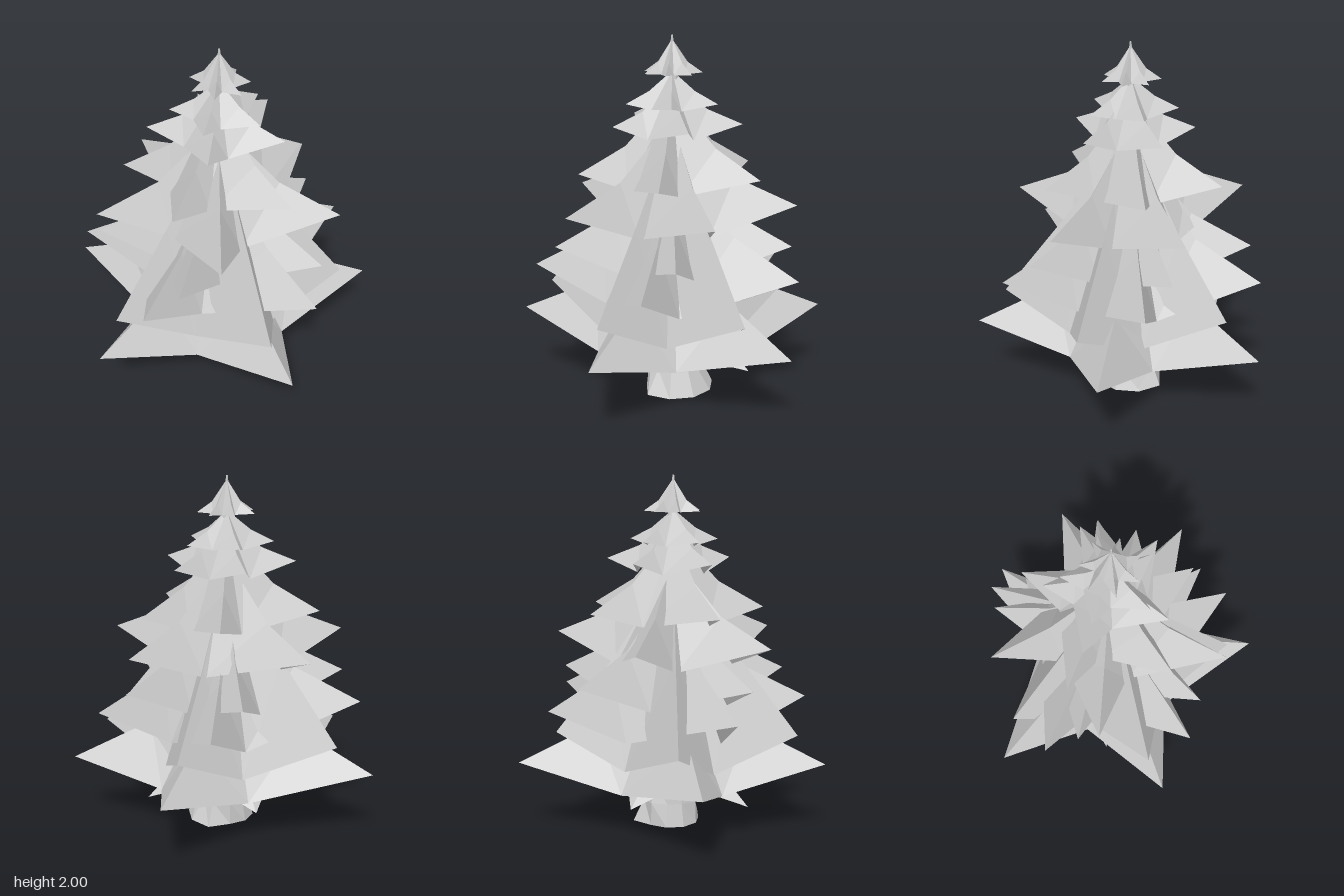
import * as THREE from 'three';

const CX = 0.07, CZ = 0.035; // trunk axis

// Each tier: tip height, apex height, valley drop, valley radius ratio,
// valley position between two tips, ridge slope near the tip, and tips [x, z] in order of angle.
const TIERS = [
  { y: 0.18, apex: 0.85, drop: -0.12, r: 0.6, t: 0.5, slope: 0.9,
    tips: [[0.40, -0.33], [-0.07, 0.30], [-0.30, 0.40], [-0.25, -0.25]] },
  { y: 0.40, apex: 1.0, drop: 0.145, r: 0.5, t: 0.57, slope: 0.45,
    tips: [[0.815, -0.445], [0.755, 0.595], [-0.28, 0.845], [-0.82, 0.05], [0.01, -0.855]] },
  { y: 0.565, apex: 1.5, drop: 0.19, r: 0.57, t: 0.56, slope: 1.25,
    tips: [[0.735, -0.215], [0.6, 0.53], [-0.25, 0.69], [-0.64, -0.045], [0.03, -0.64]] },
  { y: 0.74, apex: 1.3, drop: 0.2, r: 0.52, t: 0.76, slope: 0.5,
    tips: [[0.57, -0.55], [0.775, 0.33], [-0.025, 0.79], [-0.66, 0.26], [-0.195, -0.69]] },
  { y: 0.88, apex: 1.42, drop: 0.16, r: 0.5, t: 0.7, slope: 0.5,
    tips: [[0.38, -0.565], [0.73, 0.145], [0.14, 0.695], [-0.505, 0.37], [-0.30, -0.53]] },
  { y: 1.095, apex: 1.55, drop: 0.15, r: 0.48, t: 0.7, slope: 0.42,
    tips: [[0.33, -0.605], [0.75, -0.05], [0.36, 0.655], [-0.45, 0.48], [-0.555, -0.255]] },
  { y: 1.255, apex: 1.68, drop: 0.08, r: 0.52, t: 0.76, slope: 0.58,
    tips: [[0.39, -0.38], [0.56, 0.20], [0.04, 0.55], [-0.42, 0.21], [-0.13, -0.45]] },
  { y: 1.53, apex: 1.76, drop: 0.07, r: 0.55, t: 0.7, slope: 0.4,
    tips: [[0.205, -0.325], [0.44, 0.02], [0.16, 0.375], [-0.28, 0.19], [-0.17, -0.22]] },
  { y: 1.64, apex: 1.81, drop: 0.03, r: 0.55, t: 0.7, slope: 0.5, tips: ring(5, 0.26, -60) },
  { y: 1.80, apex: 1.98, drop: 0.005, r: 0.5, t: 0.65, slope: 0.7, tips: ring(7, 0.165, -80) },
];

// evenly spaced tips around the axis
function ring(n, radius, startDeg) {
  return Array.from({ length: n }, (_, i) => {
    const a = THREE.MathUtils.degToRad(startDeg + i * 360 / n);
    return [CX + Math.cos(a) * radius, CZ + Math.sin(a) * radius];
  });
}

// folded star skirt: every branch has a ridge, and unequal sides meet in valleys
function starGeometry({ y, apex, drop, r, t, slope, tips }) {
  const top = new THREE.Vector3(CX, apex, CZ);
  const polar = tips.map(([x, z]) => ({ a: Math.atan2(z - CZ, x - CX), r: Math.hypot(x - CX, z - CZ) }));
  const at = (a, rad, h) => new THREE.Vector3(CX + Math.cos(a) * rad, h, CZ + Math.sin(a) * rad);
  const n = tips.length;
  const valleys = polar.map((p, i) => {
    const q = polar[(i + 1) % n];
    let gap = q.a - p.a;
    while (gap < 0) gap += Math.PI * 2;
    return at(p.a + gap * t, r * (p.r + q.r) / 2, y - drop);
  });
  const points = [];
  polar.forEach((p, i) => {
    const tip = at(p.a, p.r, y);
    const mid = at(p.a, p.r * 0.5, y + slope * p.r * 0.5);
    const after = valleys[i], before = valleys[(i + n - 1) % n];
    points.push(top, after, mid, mid, after, tip, top, mid, before, mid, tip, before);
  });
  const geometry = new THREE.BufferGeometry().setFromPoints(points);
  geometry.computeVertexNormals();
  return geometry;
}

// tapering trunk whose lowest ring spreads into uneven roots
function trunkGeometry() {
  const sides = 10;
  const profile = [[0, 0.185], [0.13, 0.145], [0.25, 0.12], [0.6, 0.1], [1.2, 0.06], [1.85, 0.015]];
  const geometry = new THREE.LatheGeometry(profile.map(([y, r]) => new THREE.Vector2(r, y)), sides);
  const pos = geometry.attributes.position;
  for (let i = 0; i < pos.count; i++) {
    const y = pos.getY(i);
    const side = Math.round(Math.atan2(pos.getZ(i), pos.getX(i)) / (Math.PI * 2) * sides + sides) % sides;
    const flare = Math.max(0, 1 - y / 0.25);
    const k = 1 + flare * (side % 2 ? -0.12 : 0.2);
    pos.setXYZ(i, CX + 0.01 + pos.getX(i) * k, y, CZ - 0.01 + pos.getZ(i) * k);
  }
  const flat = geometry.toNonIndexed();
  flat.computeVertexNormals();
  return flat;
}

export function createModel() {
  const group = new THREE.Group();
  group.name = 'firTree';
  const material = new THREE.MeshStandardMaterial({ color: 0xcccccc, flatShading: true, side: THREE.DoubleSide });
  const add = (geometry, name) => {
    const mesh = new THREE.Mesh(geometry, material);
    mesh.name = name;
    group.add(mesh);
    return mesh;
  };

  add(trunkGeometry(), 'trunk');
  TIERS.forEach((tier, i) => add(starGeometry(tier), `branchTier${i + 1}`));

  // thin shoot at the very top
  add(new THREE.CylinderGeometry(0.005, 0.012, 0.07, 5), 'topShoot').position.set(CX, 1.965, CZ);
  return group;
}
